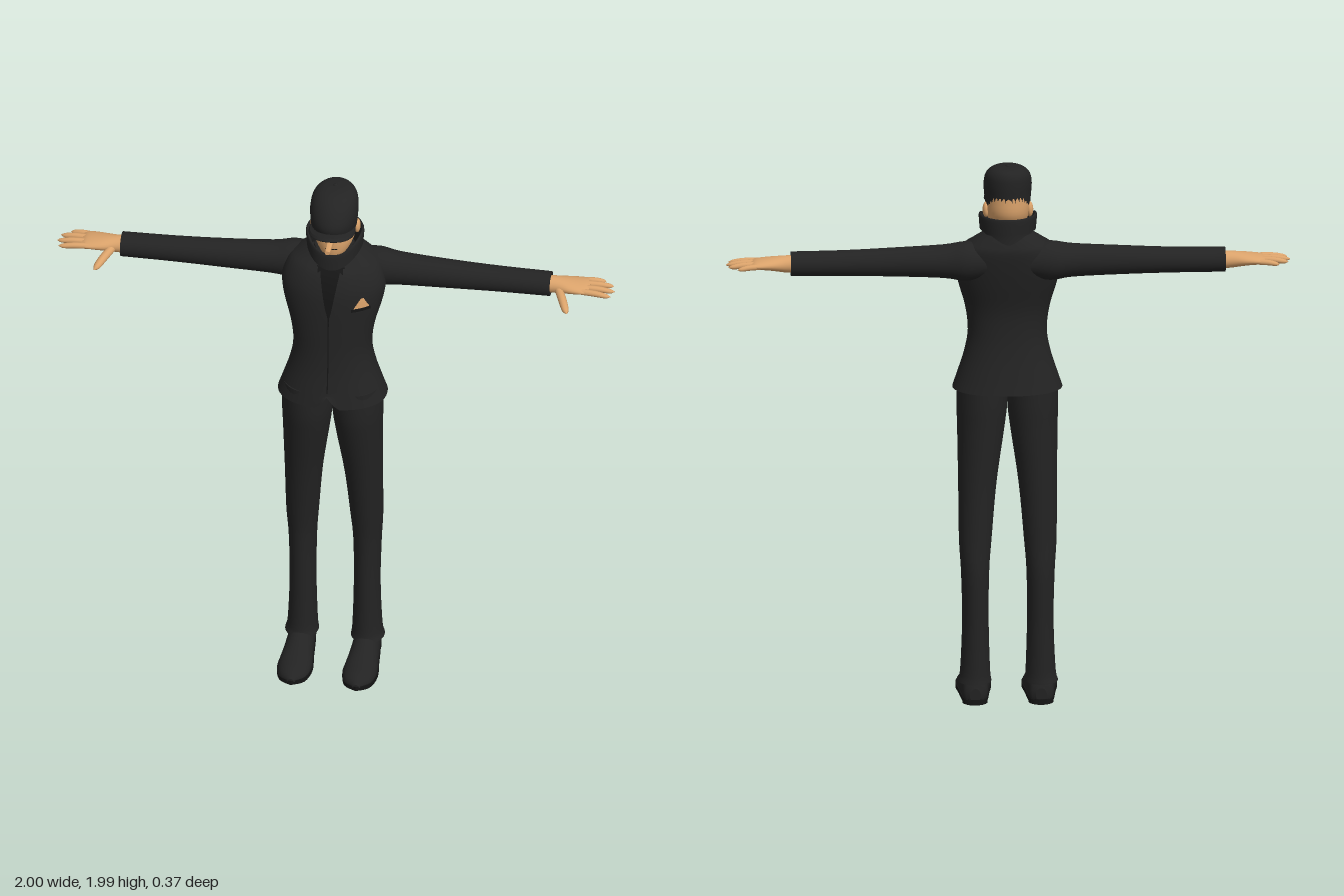
import * as THREE from 'three';

const mat = (name, color, side = THREE.FrontSide) =>
  Object.assign(new THREE.MeshStandardMaterial({ color, side }), { name });

// Signed power, for rounded-box cross-sections
const sp = (v, p) => Math.sign(v) * Math.abs(v) ** p;

// Smooth loft through rows [x, y, z, halfA, halfB], advancing along +axis
function loft(axis, rows, { n = 32, steps = 4, p = 1, caps = true, rule } = {}) {
  const centre = new THREE.CatmullRomCurve3(rows.map(r => new THREE.Vector3(r[0], r[1], r[2])), false, 'catmullrom');
  const size = new THREE.CatmullRomCurve3(rows.map(r => new THREE.Vector3(r[3], r[4], 0)), false, 'catmullrom');
  const m = (rows.length - 1) * steps, pos = [], idx = [];
  const addRing = t => {
    const c = centre.getPoint(t), s = size.getPoint(t);
    for (let j = 0; j < n; j++) {
      const th = j / n * Math.PI * 2;
      const cs = sp(Math.cos(th), p), sn = sp(Math.sin(th), p);
      const v = c.clone();
      if (axis === 'y') { v.x += s.x * sn; v.z += s.y * cs; }
      if (axis === 'x') { v.y += s.x * cs; v.z += s.y * sn; }
      if (axis === 'z') { v.x += s.x * cs; v.y += s.y * sn; }
      if (rule) rule(v, th, t);
      pos.push(v.x, v.y, v.z);
    }
    return c;
  };
  for (let i = 0; i <= m; i++) addRing(i / m);
  for (let i = 0; i < m; i++) for (let j = 0; j < n; j++) {
    const a = i * n + j, b = i * n + (j + 1) % n;
    idx.push(a, b, b + n, a, b + n, a + n);
  }
  if (caps) for (const t of [0, 1]) {
    const base = pos.length / 3, c = addRing(t), mid = pos.length / 3;
    if (rule) rule(c, 0, t);
    pos.push(c.x, c.y, c.z);
    for (let j = 0; j < n; j++) {
      const a = base + j, b = base + (j + 1) % n;
      t ? idx.push(a, b, mid) : idx.push(b, a, mid);
    }
  }
  const g = new THREE.BufferGeometry();
  g.setAttribute('position', new THREE.Float32BufferAttribute(pos, 3));
  g.setIndex(idx);
  g.computeVertexNormals();
  return g;
}

// Thin patch with corners a, b, c, d (counter-clockwise, xy), laid on the front of a mesh
function patch(target, [a, b, c, d], off = 0.005) {
  const g = new THREE.PlaneGeometry(1, 1, 8, 12), q = g.attributes.position;
  const ray = new THREE.Raycaster(), back = new THREE.Vector3(0, 0, -1);
  for (let i = 0; i < q.count; i++) {
    const u = q.getX(i) + 0.5, v = q.getY(i) + 0.5;
    const at = k => (a[k] * (1 - u) + b[k] * u) * (1 - v) + (d[k] * (1 - u) + c[k] * u) * v;
    ray.set(new THREE.Vector3(at(0), at(1), 1), back);
    const hit = ray.intersectObject(target)[0];
    q.setXYZ(i, at(0), at(1), (hit ? hit.point.z : 0) + off);
  }
  g.computeVertexNormals();
  return g;
}

export function createModel() {
  const model = new THREE.Group();
  const suit = mat('suit black', 0x232323, THREE.DoubleSide);
  const skin = mat('skin', 0xdba36b, THREE.DoubleSide);
  const dark = mat('dark trim', 0x151515, THREE.DoubleSide);
  const add = (parent, name, geo, material) => {
    const mesh = new THREE.Mesh(geo, material);
    mesh.name = name;
    parent.add(mesh);
    return mesh;
  };

  // Jacket body with a small notch at the front of the hem
  const jacket = add(model, 'jacket', loft('y', [
    [0, 1.15, -0.028, 0.195, 0.138], [0, 1.2, -0.027, 0.178, 0.128], [0, 1.28, -0.027, 0.153, 0.113],
    [0, 1.36, -0.027, 0.14, 0.105], [0, 1.45, -0.03, 0.15, 0.105], [0, 1.55, -0.045, 0.177, 0.115],
    [0, 1.62, -0.058, 0.185, 0.118], [0, 1.68, -0.075, 0.165, 0.11], [0, 1.71, -0.088, 0.13, 0.09],
    [0, 1.74, -0.095, 0.085, 0.07],
  ], {
    n: 64, p: 0.9, caps: false,
    rule: v => { if (v.y < 1.2 && v.z > 0) v.y += (1.2 - v.y) * Math.max(0, 1 - Math.abs(v.x) / 0.035); },
  }), suit);
  model.updateMatrixWorld(true);
  add(model, 'jacketSeam', patch(jacket, [[-0.002, 1.21], [0.002, 1.21], [0.002, 1.52], [-0.002, 1.52]], 0.002), dark);
  add(model, 'shirtFront', patch(jacket, [[-0.001, 1.51], [0.001, 1.51], [0.05, 1.7], [-0.05, 1.7]], 0.002), dark);
  for (const s of [-1, 1]) {
    const order = c => (s > 0 ? c : c.map(([x, y]) => [-x, y]).reverse());
    add(model, 'lapel', patch(jacket, order([[0.002, 1.5], [0.06, 1.575], [0.105, 1.645], [0.035, 1.69]]), 0.007), suit);
    add(model, 'lapelCollar', patch(jacket, order([[0.05, 1.645], [0.1, 1.66], [0.085, 1.7], [0.045, 1.7]]), 0.009), suit);
  }
  add(model, 'breastPocket', patch(jacket, [[0.08, 1.545], [0.145, 1.55], [0.145, 1.562], [0.08, 1.557]], 0.005), dark);
  add(model, 'pocketSquare', patch(jacket, [[0.088, 1.56], [0.142, 1.564], [0.122, 1.602], [0.113, 1.6]], 0.007), skin);

  // Standing collar, folded outward and lower at the throat
  add(model, 'collar', loft('y', [
    [0, 1.685, -0.088, 0.105, 0.092], [0, 1.74, -0.083, 0.086, 0.092], [0, 1.8, -0.078, 0.092, 0.1],
    [0, 1.802, -0.078, 0.103, 0.106], [0, 1.75, -0.076, 0.1, 0.108],
  ], {
    n: 48, caps: false,
    rule: (v, th, t) => { v.y -= 0.055 * Math.max(0, Math.cos(th)) ** 2 * Math.min(1, t * 2); },
  }), suit);
  add(model, 'scarf', loft('y', [
    [0, 1.68, -0.075, 0.075, 0.085], [0, 1.715, -0.07, 0.078, 0.085], [0, 1.745, -0.07, 0.07, 0.078],
  ]), suit);

  // Head and face
  add(model, 'neck', new THREE.CylinderGeometry(0.055, 0.06, 0.14, 24).translate(0, 1.76, -0.095), skin);
  const head = add(model, 'head', loft('y', [
    [0, 1.725, -0.035, 0.025, 0.03], [0, 1.745, -0.046, 0.048, 0.052], [0, 1.78, -0.065, 0.068, 0.075],
    [0, 1.82, -0.077, 0.075, 0.086], [0, 1.88, -0.077, 0.076, 0.088],
  ]), skin);
  model.updateMatrixWorld(true);
  add(model, 'mouth', patch(head, [[-0.022, 1.771], [0.022, 1.771], [0.022, 1.774], [-0.022, 1.774]], 0.002), dark);
  for (const s of [-1, 1]) {
    const x = s * 0.034;
    add(model, 'eye', patch(head, [[x - 0.014, 1.823], [x + 0.014, 1.823], [x + 0.012, 1.831], [x - 0.012, 1.831]], 0.002), dark);
    add(model, 'ear', new THREE.SphereGeometry(1, 16, 12).scale(0.012, 0.028, 0.018).translate(s * 0.078, 1.82, -0.085), skin);
  }
  add(model, 'nose', loft('z', [
    [0, 1.815, -0.01, 0.014, 0.015], [0, 1.814, 0.04, 0.011, 0.01], [0, 1.811, 0.092, 0.009, 0.007],
  ], { n: 16, p: 0.5 }), skin);

  // Cap with a short curved brim
  add(model, 'capCrown', loft('y', [
    [0, 1.842, -0.06, 0.08, 0.105], [0, 1.88, -0.056, 0.084, 0.109], [0, 1.92, -0.065, 0.085, 0.102],
    [0, 1.955, -0.078, 0.076, 0.086], [0, 1.976, -0.088, 0.05, 0.058], [0, 1.982, -0.09, 0.004, 0.004],
  ], { n: 40 }), suit);
  add(model, 'capBrim', loft('y', [
    [0, 1.853, -0.01, 0.079, 0.09], [0, 1.859, -0.01, 0.083, 0.094], [0, 1.866, -0.012, 0.079, 0.086],
  ], { n: 40, rule: v => { v.y -= v.x * v.x * 2.6 + Math.max(0, v.z) * 0.05; } }), suit);
  add(model, 'capButton', new THREE.SphereGeometry(0.008, 12, 8).scale(1, 0.5, 1).translate(0, 1.982, -0.09), suit);

  // Limbs, built on the left and mirrored
  for (const s of [1, -1]) {
    const side = new THREE.Group();
    side.name = s > 0 ? 'leftLimbs' : 'rightLimbs';
    side.scale.x = s;
    model.add(side);

    add(side, 'sleeve', loft('x', [
      [0.07, 1.64, -0.11, 0.06, 0.06], [0.15, 1.638, -0.112, 0.071, 0.066], [0.23, 1.637, -0.108, 0.06, 0.058],
      [0.4, 1.635, -0.105, 0.052, 0.051], [0.58, 1.633, -0.105, 0.046, 0.047], [0.77, 1.632, -0.105, 0.044, 0.045],
    ]), suit);

    // Hand: palm, four fingers and thumb
    add(side, 'palm', loft('x', [
      [0.74, 1.632, -0.105, 0.032, 0.032], [0.79, 1.632, -0.105, 0.03, 0.034], [0.84, 1.634, -0.105, 0.023, 0.046],
      [0.89, 1.634, -0.107, 0.016, 0.051], [0.91, 1.633, -0.107, 0.009, 0.045],
    ], { n: 24 }), skin);
    const finger = (name, from, to, r) => {
      const a = new THREE.Vector3(...from), d = new THREE.Vector3(...to).sub(a), L = d.length();
      const g = loft('x', [[0, 0, 0, r, r], [L * 0.5, 0.002, 0, r, r], [L * 0.85, 0, 0, r * 0.75, r * 0.8], [L, 0, 0, 0.001, 0.001]], { n: 12 });
      g.applyQuaternion(new THREE.Quaternion().setFromUnitVectors(new THREE.Vector3(1, 0, 0), d.normalize()));
      add(side, name, g.translate(a.x, a.y, a.z), skin);
    };
    finger('littleFinger', [0.88, 1.633, -0.145], [0.96, 1.627, -0.158], 0.01);
    finger('ringFinger', [0.885, 1.635, -0.12], [0.992, 1.628, -0.13], 0.011);
    finger('middleFinger', [0.885, 1.635, -0.095], [1, 1.628, -0.096], 0.011);
    finger('indexFinger', [0.88, 1.634, -0.07], [0.99, 1.628, -0.062], 0.011);
    finger('thumb', [0.8, 1.627, -0.085], [0.848, 1.602, 0.03], 0.015);

    add(side, 'trouserLeg', loft('y', [
      [0.118, 0.075, -0.075, 0.06, 0.07], [0.116, 0.12, -0.077, 0.053, 0.063], [0.115, 0.3, -0.078, 0.047, 0.062],
      [0.116, 0.48, -0.08, 0.05, 0.066], [0.115, 0.6, -0.07, 0.058, 0.068], [0.107, 0.8, -0.05, 0.068, 0.08],
      [0.094, 1.0, -0.03, 0.084, 0.1], [0.09, 1.09, -0.024, 0.09, 0.108], [0.088, 1.2, -0.022, 0.088, 0.108],
    ]), suit);

    // Shoe: upper with a flat base, sole and heel
    add(side, 'shoeUpper', loft('z', [
      [0.117, 0.035, -0.138, 0.02, 0.025], [0.117, 0.04, -0.12, 0.043, 0.06], [0.117, 0.04, -0.06, 0.048, 0.068],
      [0.117, 0.03, 0.01, 0.053, 0.055], [0.117, 0.02, 0.09, 0.06, 0.042], [0.117, 0.015, 0.15, 0.048, 0.033],
      [0.117, 0.014, 0.184, 0.012, 0.012],
    ], { n: 24, rule: v => { v.y = Math.max(v.y, 0.014); } }), suit);
    const outline = new THREE.Shape(new THREE.SplineCurve([
      [0, -0.188], [0.045, -0.16], [0.063, -0.09], [0.054, 0], [0.046, 0.08], [0.036, 0.13], [0, 0.142],
      [-0.036, 0.13], [-0.046, 0.08], [-0.054, 0], [-0.063, -0.09], [-0.045, -0.16], [0, -0.188],
    ].map(([x, y]) => new THREE.Vector2(x, y))).getPoints(48));
    const sole = new THREE.ExtrudeGeometry(outline, { depth: 0.016, bevelEnabled: false });
    add(side, 'sole', sole.rotateX(-Math.PI / 2).scale(1, 1, -1).scale(1, 1, -1).translate(0.117, 0.003, 0), dark);
    add(side, 'heel', new THREE.CylinderGeometry(0.045, 0.045, 0.02, 24).translate(0.117, 0.01, -0.097), dark);
  }
  return model;
}
